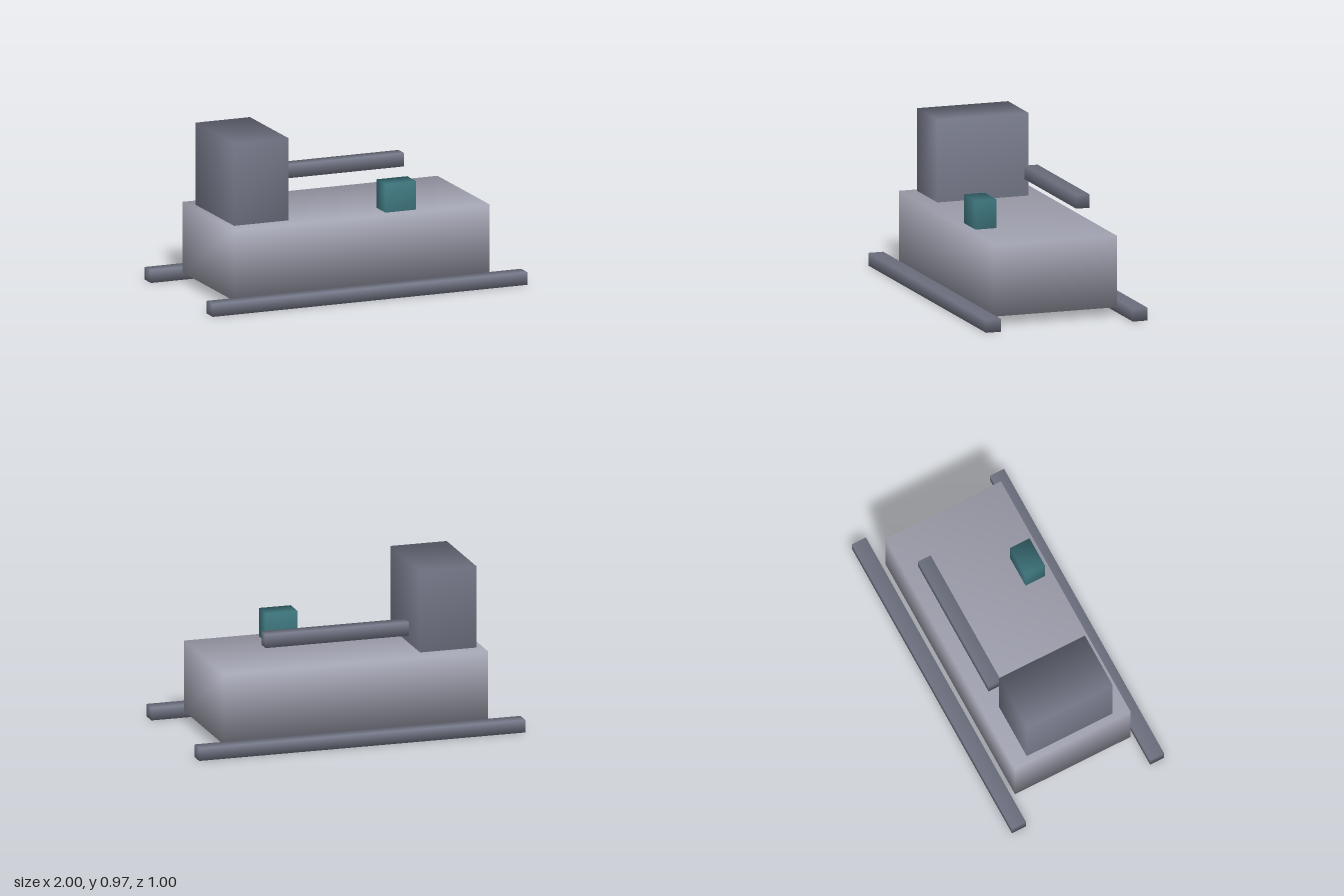
import * as THREE from 'three';

const paleGrey = new THREE.MeshStandardMaterial({ color: 0xa3a4b2 });
const slateGrey = new THREE.MeshStandardMaterial({ color: 0x737686 });
const teal = new THREE.MeshStandardMaterial({ color: 0x3d737b });

// Block given by its extents along each axis. Corner normals blend the three
// adjoining faces by area; a seated block has no underside to blend in.
function block(name, material, [x0, x1], [y0, y1], [z0, z1], seated = false) {
  const w = x1 - x0, h = y1 - y0, d = z1 - z0;
  const geometry = new THREE.BoxGeometry(w, h, d);
  const { position, normal } = geometry.attributes;
  const n = new THREE.Vector3();
  for (let i = 0; i < position.count; i++) {
    n.fromBufferAttribute(position, i);
    const up = seated && n.y < 0 ? 0 : Math.sign(n.y);
    n.set(Math.sign(n.x) * h * d, up * w * d, Math.sign(n.z) * w * h).normalize();
    normal.setXYZ(i, n.x, n.y, n.z);
  }
  const mesh = new THREE.Mesh(geometry, material);
  mesh.name = name;
  mesh.position.set((x0 + x1) / 2, (y0 + y1) / 2, (z0 + z1) / 2);
  return mesh;
}

export function createModel() {
  const model = new THREE.Group();
  model.name = 'machine';

  // Main housing and the tower at its right end
  model.add(block('body', paleGrey, [-0.81, 0.81], [0.05, 0.476], [-0.382, 0.382]));
  model.add(block('tower', slateGrey, [-0.77, -0.425], [0.476, 0.97], [-0.283, 0.283], true));

  // Small coloured box on the front of the deck
  model.add(block('controlBox', teal, [0.17, 0.364], [0.476, 0.648], [0.206, 0.335], true));

  // Raised bar behind it
  model.add(block('upperBar', slateGrey, [-0.348, 0.532], [0.593, 0.674], [-0.312, -0.23]));

  // Ground rails, front and back
  model.add(block('frontRail', slateGrey, [-1, 1], [0, 0.076], [0.41, 0.502]));
  model.add(block('backRail', slateGrey, [-1, 1], [0, 0.076], [-0.502, -0.41]));

  return model;
}
